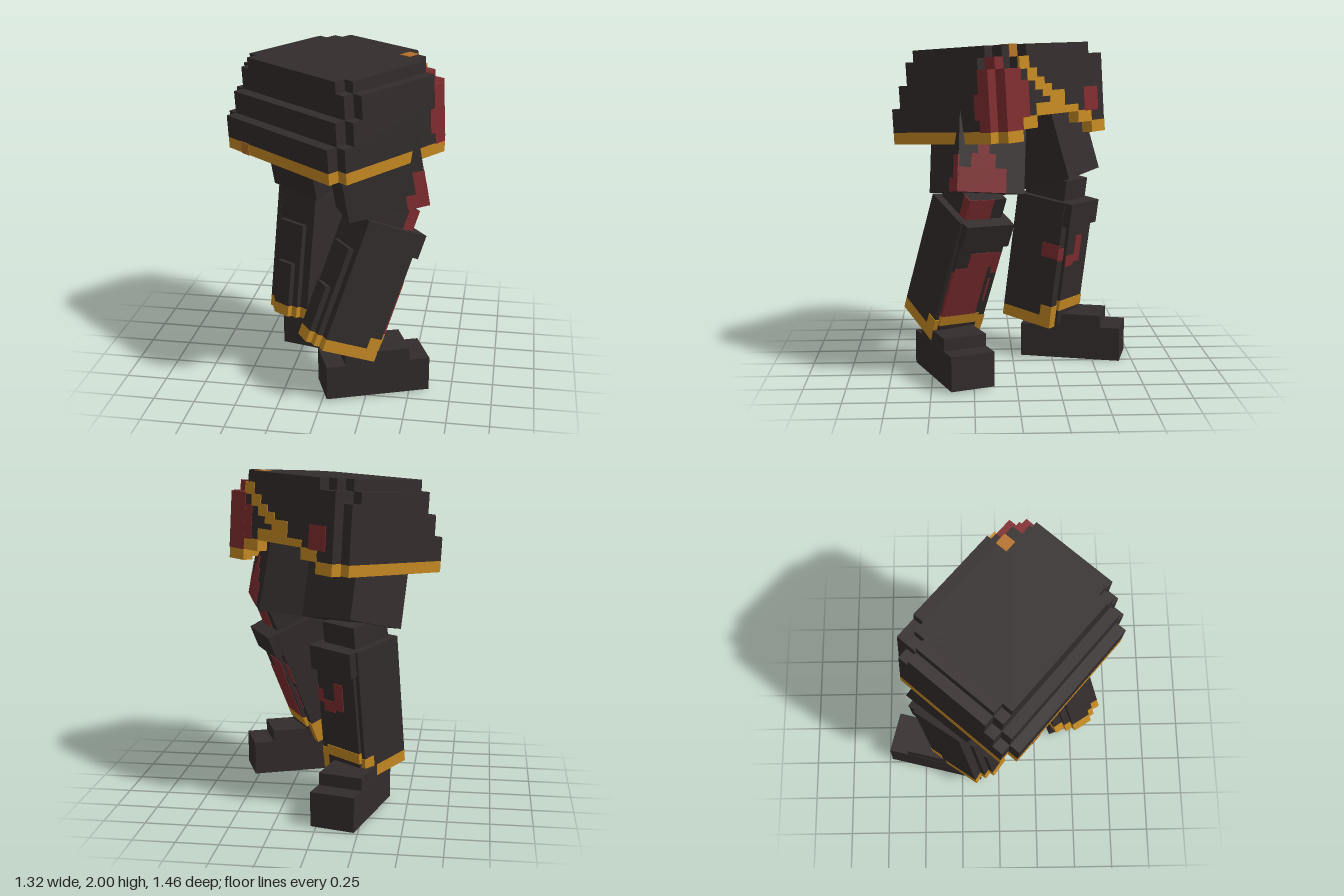
import * as THREE from 'three';

const material = (name, color) => {
  const m = new THREE.MeshStandardMaterial({ color });
  m.name = name;
  return m;
};

export function createModel() {
  const cloth = material('charcoal cloth', 0x332c2c);
  const gold = material('gold trim', 0xc48822);
  const amber = material('amber trim', 0xb4702a);
  const red = material('dark red', 0x802d30);

  const model = new THREE.Group();
  model.name = 'armouredLegs';

  // Posed group: yaw, then pitch and roll
  function part(name, pos, yaw, pitch = 0, roll = 0) {
    const g = new THREE.Group();
    g.name = name;
    g.position.set(...pos);
    g.rotation.set(pitch, yaw, roll, 'YXZ');
    model.add(g);
    return g;
  }

  // Box given by its limits, optionally scaled by a cell size and grown
  function block(g, name, mat, [x0, x1], [y0, y1], [z0, z1], unit = 1, grow = 0) {
    const e = 2 * grow;
    const mesh = new THREE.Mesh(new THREE.BoxGeometry(
      (x1 - x0) * unit + e, (y1 - y0) * unit + e, (z1 - z0) * unit + e), mat);
    mesh.position.set((x0 + x1) / 2 * unit, (y0 + y1) / 2 * unit, (z0 + z1) / 2 * unit);
    mesh.name = name;
    g.add(mesh);
  }

  // ---- Hip skirt, on a grid of cells; local +z is the wearer's front ----
  const P = 0.068;
  const hip = part('hipSkirt', [-0.005, 1.424, 0.075], 2.428, -0.07);
  const cell = (name, mat, x, y, z, grow = 0) => block(hip, name, mat, x, y, z, P, grow);

  // Upper tiers stepping in at the back, with notched corners: [y0, y1, back, front, half width]
  const tiers = [[3, 5, -5.5, 6.5, 8], [5, 6, -4.5, 6.5, 8], [6, 7, -4.5, 5.5, 8], [7, 8, -4.5, 5.5, 7]];
  for (const [y0, y1, b, f, w] of tiers) {
    cell('hipTier', cloth, [-w, w], [y0, y1], [b + 1, f - 1]);
    cell('hipTierCore', cloth, [1 - w, w - 1], [y0, y1], [b, f]);
  }
  // Flat front panel narrowing towards the waist
  cell('frontPanel', cloth, [-5, 7], [6, 7], [5.5, 6.5]);
  cell('frontPanel', cloth, [-4, 5], [7, 8], [5.5, 6.5]);

  // Hanging rim: back and sides, gold along the hem
  for (const [mat, y0, y1] of [[gold, 0, 1], [cloth, 1, 3]]) {
    cell('backRim', mat, [-7, 7], [y0, y1], [-6.5, -5.5]);
    for (const x of [-8, 7]) cell('sideRim', mat, [x, x + 1], [y0, y1], [-5.5, 5.5]);
  }
  cell('hemPatch', amber, [4, 5], [0, 1], [-6.5, -5.5], 0.003);

  // Front rim rises in steps to the middle
  for (let x = -7; x < 7; x++) {
    const d = Math.abs(x + 0.5);
    const y = d > 5 ? 0 : d > 3 ? 1 : 2;
    const top = x === 1 || x === 2 ? 2.6 : y + 1;
    cell('frontHem', gold, [x, x + 1], [y, top], [5.5, 6.5], 0.002);
    if (top < 3) cell('frontRim', cloth, [x, x + 1], [top, 3], [5.5, 6.5]);
  }

  // Gold sash stepping down to the middle
  cell('sash', amber, [-5, -4], [7, 8], [4.5, 5.5], 0.004);
  [[-5, -3.8, 6], [-4, -2.8, 5], [-3, -1.8, 4.2], [-2, -0.8, 3.6], [-1, 1, 3]].forEach(([a, b, y]) =>
    cell('sash', gold, [a, b], [y, y + 0.95], [6.4, 6.5], 0.004));

  // Red patches on the front corner and front panel
  cell('redCorner', red, [-7, -5], [1, 6], [5.5, 6.5], 0.004);
  cell('redCorner', red, [-5, -4], [2, 5], [5.5, 6.5], 0.003);
  cell('redCorner', red, [-8, -7], [1, 6], [4.5, 5.5], 0.004);
  cell('redCorner', red, [-8, -7], [2, 4], [4, 4.5], 0.004);
  cell('redCorner', red, [-7, -6], [6, 7], [4.5, 5.5], 0.004);
  cell('redPatch', red, [4, 6], [2, 4], [5.5, 6.5], 0.004);

  // ---- Legs; o is the sign of the outer side on local x ----
  const legs = [
    { name: 'left', o: -1, thigh: [[0.296, 1.12, 0.232], 1.94, -0.16, -0.1], thighSize: [0.41, 0.62, 0.48],
      shin: [[0.32, 1.035, 0.25], 2.11, 0.39, -0.05],
      foot: [[0.275, 0.01, 0.37], 1.94] },
    { name: 'right', o: 1, thigh: [[-0.157, 1.13, -0.263], 2.51, -0.27, 0.08], thighSize: [0.38, 0.46, 0.46],
      shin: [[-0.175, 1.03, -0.29], 2.5, 0.13, -0.02],
      foot: [[-0.175, 0, -0.395], 2.89] },
  ];

  for (const { name, o, thigh, thighSize: [w, h, d], shin, foot } of legs) {
    // x limits measured towards the outer side
    const span = (a, b) => [Math.min(a * o, b * o), Math.max(a * o, b * o)];

    const t = part(name + 'Thigh', ...thigh);
    block(t, 'thigh', cloth, [-w / 2, w / 2], [0, h], [-d / 2, d / 2]);

    // Shin core shows at the front, between the gaiter sides
    const s = part(name + 'Shin', ...shin);
    block(s, 'knee', cloth, [-0.125, 0.125], [0, 0.13], [-0.16, 0.125]);
    block(s, 'shinCore', cloth, span(-0.11, 0.145), [-0.79, 0], [-0.16, 0.18]);
    block(s, 'shinHem', gold, span(-0.113, 0.148), [-0.7, -0.635], [0.1, 0.184]);
    block(s, 'kneePad', cloth, span(-0.165, 0.158), [-0.145, 0.003], [0.1, 0.21]);
    for (const side of [span(-0.172, -0.11), span(0.145, 0.172)]) {
      const [a, b] = side;
      block(s, 'gaiterSide', cloth, side, [-0.74, 0], [-0.19, 0.16]);
      block(s, 'gaiterSideHem', gold, side, [-0.81, -0.74], [-0.19, 0.165]);
      block(s, 'gaiterCornerTrim', gold, [a - 0.003, b + 0.003], [-0.74, -0.67], [0.085, 0.165]);
    }

    // Calf plates stepping out towards the hem: [half width, top, back]
    for (const [cw, top, back] of [[0.145, 0, -0.188], [0.11, -0.2, -0.222], [0.065, -0.46, -0.255]]) {
      block(s, 'calfPlate', cloth, [-cw, cw], [-0.74, top], [back, -0.1]);
      block(s, 'calfHem', gold, [-cw, cw], [-0.81, -0.74], [back, -0.1]);
    }

    // Red marks
    const mark = (g, x, y, z) => block(g, 'redMark', red, span(...x), y, z);
    const core = [0.176, 0.184], slab = [0.156, 0.164];
    if (o < 0) {
      const front = [0.236, 0.244], side = [0.201, 0.209];
      mark(t, [-0.09, 0.205], [0, 0.14], front);
      mark(t, [-0.02, 0.13], [0.14, 0.22], front);
      mark(t, [0.02, 0.09], [0.22, 0.29], front);
      mark(t, side, [0, 0.08], [0.11, 0.242]);
      mark(t, side, [0.08, 0.21], [0.17, 0.242]);
      mark(s, [-0.04, 0.12], [0, 0.13], [0.121, 0.129]);
      mark(s, [0.121, 0.129], [0, 0.13], [0.06, 0.127]);
      mark(s, [-0.105, 0.06], [-0.3, -0.2], core);
      mark(s, [-0.085, 0.145], [-0.635, -0.3], core);
      mark(s, [0.141, 0.148], [-0.635, -0.33], [0.155, 0.183]);
      mark(s, [-0.168, -0.112], [-0.36, -0.22], slab);
      mark(s, [-0.14, -0.112], [-0.56, -0.4], slab);
    } else {
      mark(s, [-0.11, -0.02], [-0.41, -0.34], core);
      mark(s, [-0.02, 0.05], [-0.39, -0.22], core);
      mark(s, [-0.172, -0.112], [-0.37, -0.29], slab);
      mark(s, [-0.176, -0.168], [-0.36, -0.27], [0.04, 0.163]);
    }

    // Stepped boot
    const b = part(name + 'Boot', ...foot);
    block(b, 'sole', cloth, [-0.135, 0.135], [0, 0.21], [-0.315, 0.315]);
    block(b, 'instep', cloth, [-0.133, 0.133], [0.21, 0.285], [-0.2, 0.19]);
  }
  return model;
}
